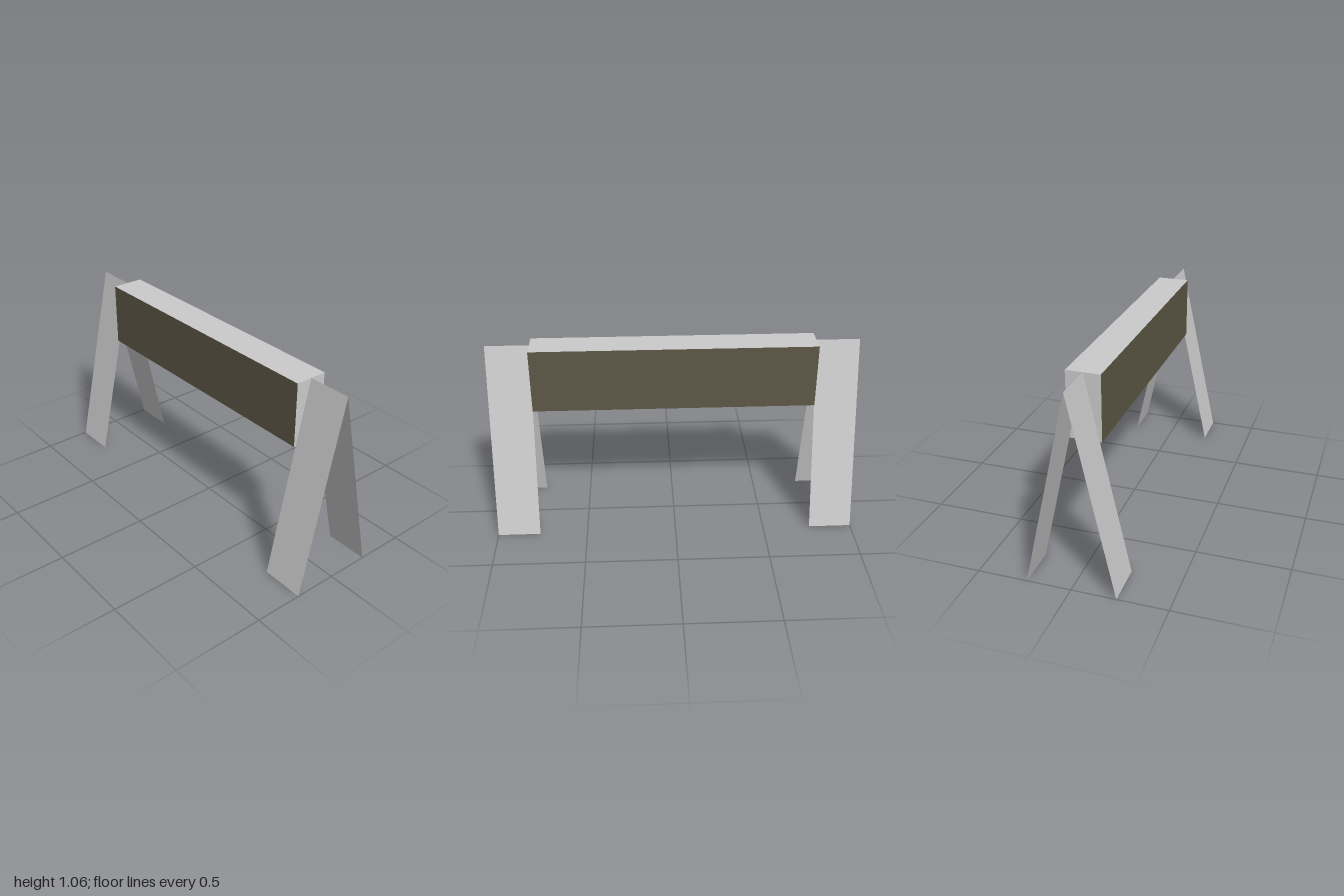
import * as THREE from 'three';

export function createModel() {
  const model = new THREE.Group();
  model.name = 'barrier';

  const grey = new THREE.MeshStandardMaterial({ color: 0xcccccc });
  const sheet = new THREE.MeshStandardMaterial({ color: 0xcccccc, side: THREE.DoubleSide });
  const panel = new THREE.MeshStandardMaterial({ color: 0x5e5846 });

  const height = 1.06, halfBeam = 0.765, legWidth = 0.235, spread = 0.235;

  // Crossbeam: coloured front and back, plain ends, top and underside
  const beamHeight = 0.35;
  const beam = new THREE.Mesh(
    new THREE.BoxGeometry(halfBeam * 2, beamHeight, 0.178),
    [grey, grey, grey, grey, panel, panel]
  );
  beam.name = 'crossbeam';
  beam.position.y = height - beamHeight / 2;
  model.add(beam);

  // Thin leg sheet with its top edge on the ridge, leaning outward to the ground
  const legGeometry = new THREE.PlaneGeometry(legWidth, Math.hypot(height, spread));
  legGeometry.rotateX(-Math.atan2(spread, height));
  legGeometry.translate(0, height / 2, spread / 2);

  // A-frame pair of legs at each end
  for (const side of [1, -1]) {
    const stand = new THREE.Group();
    stand.name = side > 0 ? 'leftStand' : 'rightStand';
    stand.position.x = side * (halfBeam + legWidth / 2);
    for (const name of ['frontLeg', 'backLeg']) {
      const leg = new THREE.Mesh(legGeometry, sheet);
      leg.name = name;
      if (name === 'backLeg') leg.rotation.y = Math.PI;
      stand.add(leg);
    }
    model.add(stand);
  }
  return model;
}
